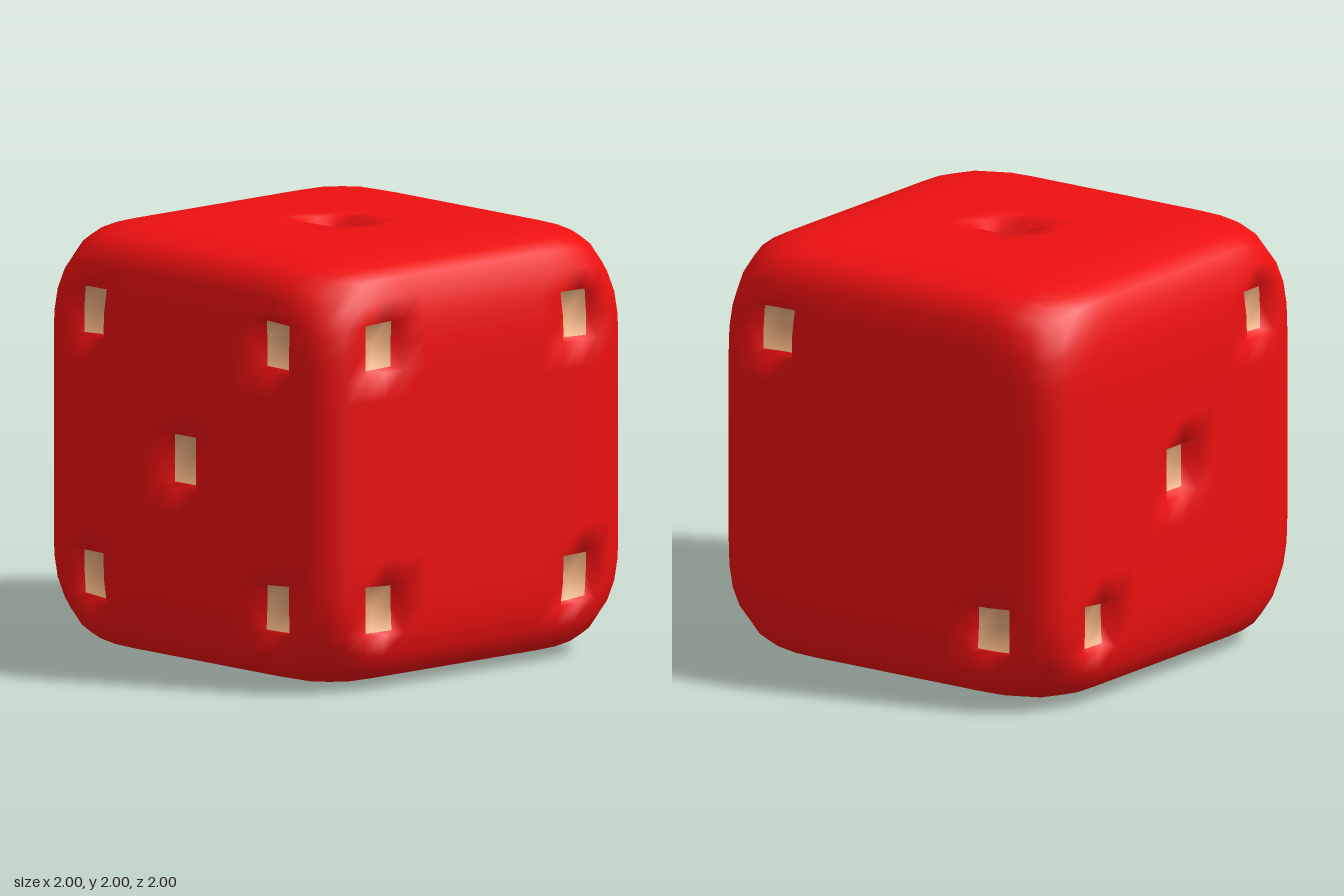
import * as THREE from 'three';

const N = 8; // cells from the centre of a face to its edge
const ROUND = 0.08; // how far the edges are pulled in
const FLOOR = 0.9; // distance of each pit floor from the centre

// Rounding rule: flat in the middle, easing in towards the edges
const drop = t => ROUND * Math.pow(Math.max(0, (Math.abs(t) - 0.5) / 0.5), 2.5);
const spread = t => t - Math.sign(t) * drop(t);

// Six sides: axes u, v, n (u x v = n) and the pit positions on each
const corners = [[-1, -1], [1, -1], [-1, 1], [1, 1]];
const SIDES = [
  { u: [1, 0, 0], v: [0, 1, 0], n: [0, 0, 1], pits: [...corners, [0, 0]] },
  { u: [-1, 0, 0], v: [0, 1, 0], n: [0, 0, -1], pits: [[-1, 1], [1, -1]] },
  { u: [0, 0, -1], v: [0, 1, 0], n: [1, 0, 0], pits: corners },
  { u: [0, 0, 1], v: [0, 1, 0], n: [-1, 0, 0], pits: [[1, 1], [0, 0], [-1, -1]] },
  { u: [1, 0, 0], v: [0, 0, -1], n: [0, 1, 0], pits: [[0, 0]] },
  { u: [1, 0, 0], v: [0, 0, 1], n: [0, -1, 0], pits: [...corners, [0, -1], [0, 1]] },
];

export function createModel() {
  const positions = [], bodyIndex = [], floorIndex = [];
  const known = new Map();

  // Returns the index of a grid point, shared between neighbouring sides
  function vertex(side, i, j, sunk) {
    const a = i / N, b = j / N;
    const x = spread(a) * (1 - drop(b));
    const y = spread(b) * (1 - drop(a));
    const z = sunk ? FLOOR : (1 - drop(a)) * (1 - drop(b));
    const p = [0, 1, 2].map(k => side.u[k] * x + side.v[k] * y + side.n[k] * z);
    const key = p.map(c => Math.round(c * 1e4)).join();
    if (!known.has(key)) {
      known.set(key, positions.length / 3);
      positions.push(...p);
    }
    return known.get(key);
  }
  const quad = (list, a, b, c, d) => list.push(a, b, c, a, c, d);

  for (const side of SIDES) {
    // Each pit covers two by two cells
    const inPit = (i, j) => side.pits.some(([p, q]) =>
      (i === p * 5 || i === p * 5 - 1) && (j === q * 5 || j === q * 5 - 1));

    for (let i = -N; i < N; i++) {
      for (let j = -N; j < N; j++) {
        const ring = [[i, j], [i + 1, j], [i + 1, j + 1], [i, j + 1]];
        const rim = () => ring.map(([s, t]) => vertex(side, s, t, false));
        if (!inPit(i, j)) {
          quad(bodyIndex, ...rim());
          continue;
        }
        const low = ring.map(([s, t]) => vertex(side, s, t, true));
        quad(floorIndex, ...low);
        // Walls where the pit meets the outer surface
        const next = [[i, j - 1], [i + 1, j], [i, j + 1], [i - 1, j]];
        next.forEach((cell, e) => {
          if (inPit(...cell)) return;
          const f = (e + 1) % 4;
          const [ra, rb] = [ring[e], ring[f]].map(([s, t]) => vertex(side, s, t, false));
          quad(bodyIndex, ra, rb, low[f], low[e]);
        });
      }
    }
  }

  // Smooth normals run across body, walls and floors together
  const whole = new THREE.BufferGeometry();
  whole.setAttribute('position', new THREE.Float32BufferAttribute(positions, 3));
  whole.setIndex([...bodyIndex, ...floorIndex]);
  whole.computeVertexNormals();
  whole.translate(0, 1, 0);

  const group = new THREE.Group();
  group.name = 'die';
  function addPart(name, index, color) {
    const geometry = whole.clone();
    geometry.setIndex(index);
    const mesh = new THREE.Mesh(geometry, new THREE.MeshStandardMaterial({ color }));
    mesh.name = name;
    group.add(mesh);
  }
  addPart('body', bodyIndex, 0xee1010);
  addPart('pitFloors', floorIndex, 0xeeb080);
  return group;
}
